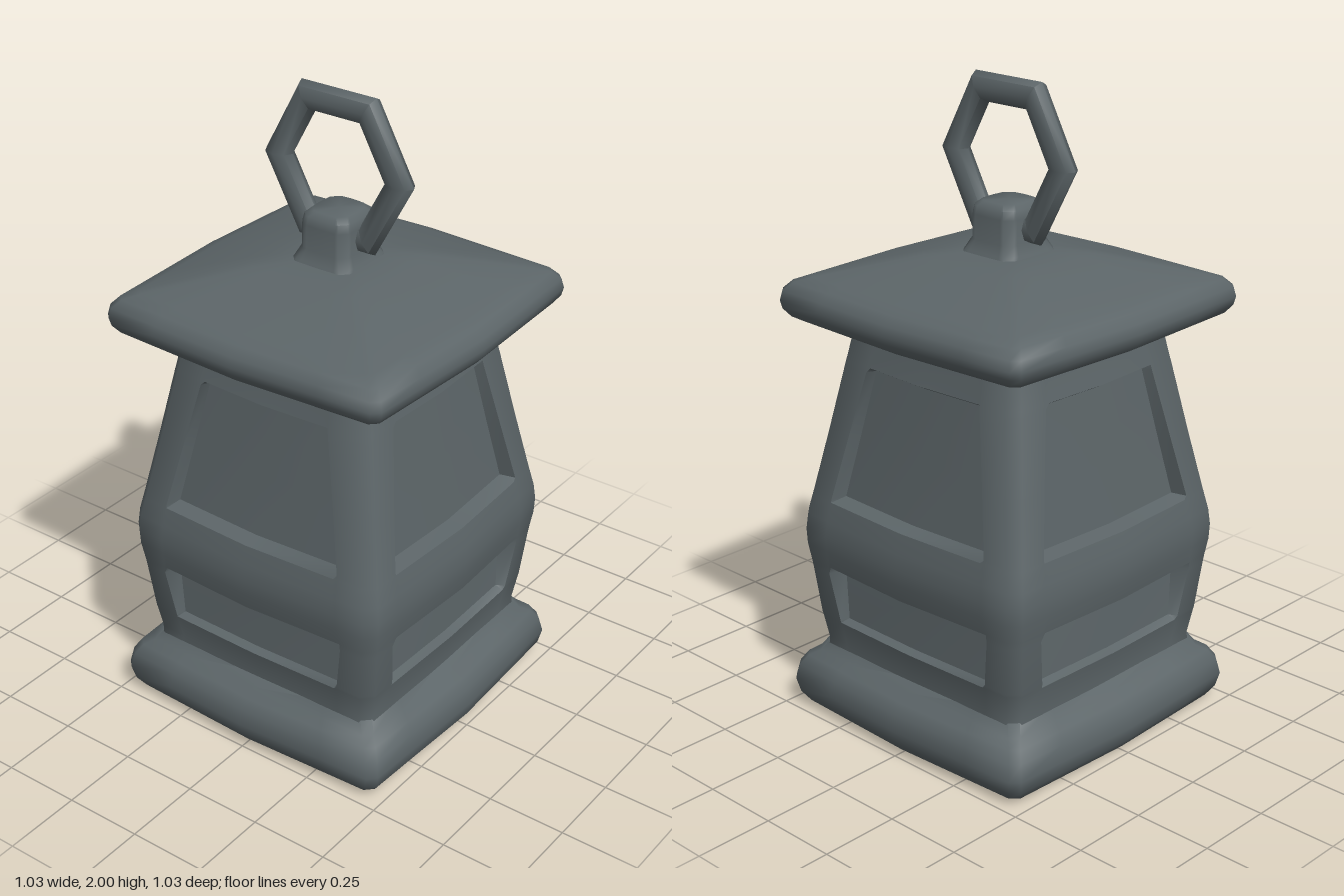
import * as THREE from 'three';
import { toCreasedNormals } from 'three/addons/utils/BufferGeometryUtils.js';

const iron = new THREE.MeshStandardMaterial({ color: 0x5c6568 });
iron.name = 'dark iron';

// Four-sided loft. Each row: [y, corner half width, bulge at mid side, panel half width, panel depth]
function squareLoft(name, rows, chamfer, crease = 0.95) {
  const pos = [], index = [], n = 28;
  for (const [y, c, bulge, e = c * 0.6, depth = 0] of rows) {
    const a = c - chamfer, inner = e - 0.012;
    const side = [-a, -e, -inner, 0, inner, e, a].map((x, i) => {
      const z = c + bulge * (1 - Math.abs(x) / a);
      return [x, i > 1 && i < 5 ? z - depth : z];
    });
    for (let k = 0; k < 4; k++) {
      for (let [x, z] of side) {
        for (let r = 0; r < k; r++) [x, z] = [z, -x];
        pos.push(x, y, z);
      }
    }
  }
  for (let r = 0; r < rows.length - 1; r++) {
    for (let i = 0; i < n; i++) {
      const a = r * n + i, b = r * n + (i + 1) % n;
      index.push(a, b, b + n, a, b + n, a + n);
    }
  }
  // End caps
  const last = (rows.length - 1) * n, bottom = rows.length * n, top = bottom + 1;
  pos.push(0, rows[0][0], 0, 0, rows[rows.length - 1][0], 0);
  for (let i = 0; i < n; i++) {
    const j = (i + 1) % n;
    index.push(bottom, j, i, top, last + i, last + j);
  }
  const geo = new THREE.BufferGeometry();
  geo.setAttribute('position', new THREE.Float32BufferAttribute(pos, 3));
  geo.setIndex(index);
  const mesh = new THREE.Mesh(toCreasedNormals(geo, crease), iron);
  mesh.name = name;
  return mesh;
}

export function createModel() {
  const group = new THREE.Group();
  group.name = 'lantern';

  // Rounded foot
  group.add(squareLoft('base', [
    [0, 0.43, 0.015], [0.012, 0.455, 0.018], [0.045, 0.477, 0.022],
    [0.09, 0.487, 0.023], [0.14, 0.477, 0.022], [0.172, 0.457, 0.02],
    [0.19, 0.43, 0.01], [0.23, 0.405, 0.005],
  ], 0.025));

  // Bulging housing with two recessed panels on each side
  group.add(squareLoft('housing', [
    [0.18, 0.415, 0.004, 0.3], [0.24, 0.412, 0.006, 0.3],
    [0.315, 0.424, 0.01, 0.31], [0.325, 0.426, 0.01, 0.31, 0.028],
    [0.48, 0.442, 0.018, 0.335, 0.06], [0.505, 0.445, 0.02, 0.335],
    [0.56, 0.453, 0.024, 0.33], [0.61, 0.455, 0.025, 0.33],
    [0.66, 0.45, 0.024, 0.325], [0.72, 0.438, 0.02, 0.32],
    [0.73, 0.436, 0.02, 0.32, 0.05], [0.92, 0.4, 0.018, 0.28, 0.042],
    [1.14, 0.36, 0.015, 0.232, 0.03], [1.155, 0.357, 0.015, 0.23],
    [1.22, 0.345, 0.01, 0.22], [1.28, 0.335, 0.01, 0.22],
  ], 0.032));

  // Overhanging hipped roof
  group.add(squareLoft('roof', [
    [1.25, 0.33, 0.01], [1.275, 0.44, 0.02], [1.29, 0.465, 0.022],
    [1.315, 0.483, 0.024], [1.34, 0.488, 0.025], [1.37, 0.482, 0.024],
    [1.395, 0.46, 0.02], [1.41, 0.42, 0.018], [1.475, 0.19, 0.01],
    [1.487, 0.11, 0.003],
  ], 0.022));

  // Knob holding the ring
  const knob = squareLoft('knob', [
    [1.47, 0.11, 0.003], [1.495, 0.098, 0.002], [1.525, 0.084, 0.003],
    [1.6, 0.083, 0.003], [1.625, 0.078, 0.003], [1.64, 0.062, 0.003],
  ], 0.022);
  knob.scale.x = 1.05;
  group.add(knob);

  // Hexagonal hanging ring
  const ringGeo = new THREE.TorusGeometry(0.2125, 0.0475, 8, 6);
  ringGeo.scale(1, 1.06, 0.74);
  ringGeo.rotateY(Math.PI / 2);
  ringGeo.translate(0, 1.761, 0);
  const ring = new THREE.Mesh(toCreasedNormals(ringGeo, 0.96), iron);
  ring.name = 'hangingRing';
  group.add(ring);

  return group;
}
